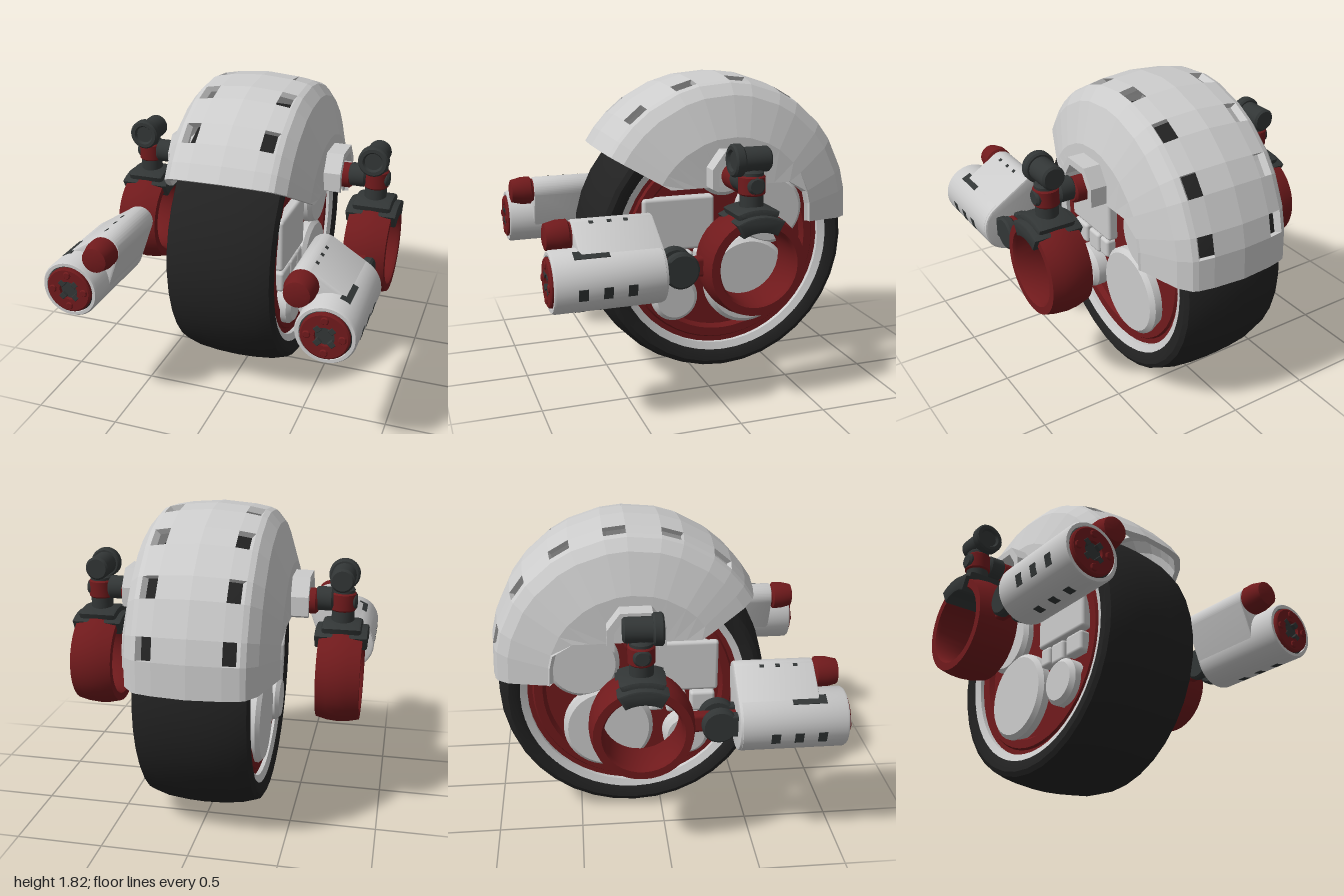
import * as THREE from 'three';
import { toCreasedNormals } from 'three/addons/utils/BufferGeometryUtils.js';
import { RoundedBoxGeometry } from 'three/addons/geometries/RoundedBoxGeometry.js';

const mat = (color, opts = {}) => new THREE.MeshStandardMaterial({ color, ...opts });
const GREY = mat(0xcccccc), RED = mat(0x701a1c), DARK = mat(0x323636), BLACK = mat(0x222222);
const PLATE = mat(0xcccccc, { flatShading: true });
const D = Math.PI / 180;

function add(parent, name, geometry, material, x = 0, y = 0, z = 0) {
  const mesh = new THREE.Mesh(geometry, material);
  mesh.name = name;
  mesh.position.set(x, y, z);
  parent.add(mesh);
  return mesh;
}

// Turned part: points are [radius, distance along axis]
function turned(points, axis = 'y', segments = 32) {
  const g = new THREE.LatheGeometry(points.map(p => new THREE.Vector2(...p)), segments);
  if (axis === 'x') g.rotateZ(-Math.PI / 2);
  if (axis === 'z') g.rotateX(Math.PI / 2);
  return toCreasedNormals(g, 0.6);
}

// Solid round with softened rims, from a to b along the axis
function round(r, a, b, axis, bevel = 0.012, segments = 28) {
  return turned([[0, a], [r - bevel, a], [r, a + bevel], [r, b - bevel], [r - bevel, b], [0, b]], axis, segments);
}

function box(w, h, d, r = 0.012) {
  return new RoundedBoxGeometry(w, h, d, 2, r);
}

function extrude(shape, depth, bevel = 0) {
  const g = new THREE.ExtrudeGeometry(shape, {
    depth, curveSegments: 20, bevelEnabled: bevel > 0, bevelThickness: bevel, bevelSize: bevel, bevelOffset: -bevel, bevelSegments: 2,
  });
  return toCreasedNormals(g, 0.6);
}

// Fender: a thick curved sheet on a grid of angles and widths, with window cells left out
function fenderGeometry() {
  const angles = [30, 37];
  for (let i = 0; i < 6; i++) angles.push(50 + 23.3 * i - 4.6, 50 + 23.3 * i + 4.6);
  angles.push(184);
  const half = [[0, 0.84], [0.19, 0.825], [0.28, 0.808], [0.31, 0.795], [0.365, 0.73], [0.445, 0.5], [0.455, 0]];
  const section = [...half.slice(1).reverse().map(([x, r]) => [-x, r]), ...half];
  const point = (i, j, inner) => {
    const a = angles[i] * D;
    let [x, r] = section[j];
    if (r === 0) r = a > 150 * D ? 0.49 : Math.min(0.49, 0.22 / Math.sin(a));
    else if (inner) r -= 0.03;
    if (inner) x -= Math.sign(x) * 0.025;
    return [x, 0.99 + r * Math.sin(a), -0.165 + r * Math.cos(a)];
  };
  const rows = angles.length - 1, cols = section.length - 1;
  const isWindow = (i, j) => i >= 2 && i % 2 === 0 && i < rows && (j === 4 || j === cols - 5);
  const solid = (i, j) => i >= 0 && j >= 0 && i < rows && j < cols && !isWindow(i, j);
  const pos = [];
  const quad = (a, b, c, d) => pos.push(...a, ...b, ...c, ...a, ...c, ...d);
  for (let i = 0; i < rows; i++) for (let j = 0; j < cols; j++) {
    if (!solid(i, j)) continue;
    const c = [[i, j], [i, j + 1], [i + 1, j + 1], [i + 1, j]];
    const o = c.map(p => point(...p, false)), n = c.map(p => point(...p, true));
    quad(...o);
    quad(n[3], n[2], n[1], n[0]);
    [[i - 1, j], [i, j + 1], [i + 1, j], [i, j - 1]].forEach((nb, k) => {
      const m = (k + 1) % 4;
      if (!solid(...nb)) quad(o[m], o[k], n[k], n[m]);
    });
  }
  const g = new THREE.BufferGeometry();
  g.setAttribute('position', new THREE.Float32BufferAttribute(pos, 3));
  g.computeVertexNormals();
  return g;
}

function wheel() {
  const g = new THREE.Group();
  g.name = 'wheel';
  g.position.set(0, 0.82, -0.165);
  const side = [[0.64, 0.28], [0.67, 0.305], [0.70, 0.32], [0.74, 0.325], [0.768, 0.31], [0.795, 0.22], [0.808, 0.1]];
  const tire = [...side.map(([r, x]) => [r, -x]), [0.812, 0], ...side.slice().reverse()];
  add(g, 'tire', turned(tire, 'x', 36), BLACK);
  add(g, 'hub', turned([[0, -0.25], [0.52, -0.25], [0.54, -0.28], [0.59, -0.28], [0.6, -0.265], [0.64, -0.265],
    [0.64, 0.265], [0.6, 0.265], [0.59, 0.28], [0.54, 0.28], [0.52, 0.25], [0, 0.25]], 'x', 48), RED);
  return g;
}

// Panels on one face of the wheel
function hubDetails(g) {
  add(g, 'rimBand', turned([[0.63, 0.25], [0.672, 0.25], [0.672, 0.307], [0.63, 0.29], [0.63, 0.25]], 'x', 48), GREY, 0, 0.82, -0.165);
  for (const [r, y, z, x] of [[0.27, 0.58, -0.32, 0.32], [0.215, 1.01, -0.46, 0.31], [0.14, 0.52, 0.15, 0.342], [0.16, 1.28, -0.16, 0.32]])
    add(g, 'hubDisc', round(r, 0.2, x, 'x', 0.025, 36), GREY, 0, y, z);
  for (const [h, d, y, z] of [[0.32, 0.44, 0.97, 0.12], [0.13, 0.15, 0.73, 0.25], [0.13, 0.12, 0.73, 0.09], [0.12, 0.09, 0.74, -0.03]])
    add(g, 'hubPanel', box(0.1, h, d, 0.02), GREY, 0.26, y, z);
}

function shoulder(g) {
  // Faceted open-bottomed arch over the arm axle
  const arch = new THREE.Shape([[-0.165, 1.22], [-0.165, 1.33], [-0.09, 1.43], [0.09, 1.43], [0.165, 1.33], [0.165, 1.22],
    [0.125, 1.2], [0.125, 1.31], [0.07, 1.39], [-0.07, 1.39], [-0.125, 1.31], [-0.125, 1.2]].map(p => new THREE.Vector2(...p)));
  add(g, 'shoulderArch', extrude(arch, 0.17), PLATE, 0.38, 0, -0.16).rotation.y = Math.PI / 2;
  add(g, 'shoulderAxle', round(0.075, 0.25, 0.59, 'x'), RED, 0, 1.27, -0.16);
  add(g, 'axleCollar', round(0.07, 0.575, 0.68, 'x'), DARK, 0, 1.285, -0.15);
  add(g, 'elbowPost', round(0.066, 1.12, 1.36, 'y'), DARK, 0.735, 0, -0.15);
  add(g, 'elbowCollar', round(0.075, 1.22, 1.335, 'y'), RED, 0.735, 0, -0.15);
  add(g, 'elbowCap', round(0.05, 0.74, 0.815, 'x'), DARK, 0, 1.28, -0.15);
  // Small lamp on top of the arm
  add(g, 'lampBody', round(0.07, -0.25, -0.06, 'z'), DARK, 0.73, 1.415, 0);
  add(g, 'lampHead', turned([[0, -0.09], [0.08, -0.09], [0.09, -0.08], [0.09, -0.04], [0.08, -0.03], [0.06, -0.03], [0.05, -0.045], [0, -0.045]], 'z'), DARK, 0.73, 1.415, 0);
  add(g, 'lampMount', round(0.045, 1.33, 1.4, 'y'), DARK, 0.735, 0, -0.15);
}

function armRing(g) {
  add(g, 'armRing', turned([[0.218, -0.105], [0.23, -0.125], [0.275, -0.125], [0.29, -0.06], [0.295, 0], [0.29, 0.06],
    [0.275, 0.125], [0.23, 0.125], [0.218, 0.105], [0.218, -0.105]], 'x', 36), RED, 0.735, 0.84, -0.15);
  // Curved clamp gripping the top of the ring
  const arc = (r, from, to, s) => s.absarc(0, 0, r, from * D, to * D, from > to);
  const clamp = (inner, outer, spread) => {
    const s = new THREE.Shape();
    arc(outer, 90 - spread, 90 + spread, s);
    arc(inner, 90 + spread, 90 - spread, s);
    return s;
  };
  add(g, 'ringClamp', extrude(clamp(0.2, 0.29, 29), 0.28, 0.012), DARK, 0.595, 0.84, -0.15).rotation.y = Math.PI / 2;
  add(g, 'clampTop', extrude(clamp(0.26, 0.325, 23), 0.19, 0.02), DARK, 0.64, 0.84, -0.15).rotation.y = Math.PI / 2;
}

function blaster(g) {
  const X = 0.735, Y = 0.84, R = 0.166, SX = 0.575, SY = 1.04, SR = 0.083;
  // Wrist: red link between two dark knuckles
  add(g, 'wristLink', box(0.07, 0.11, 0.3, 0.02), RED, X, 0.845, 0.24);
  for (const s of [-1, 1]) {
    add(g, 'wristKnuckle', round(0.1, -0.03, 0.03, 'x'), DARK, X + s * 0.06, 0.85, 0.275);
    add(g, 'wristFork', box(0.06, 0.13, 0.12), DARK, X + s * 0.06, 0.85, 0.34);
  }
  // Teardrop housing joining the main drum and the side barrel
  const theta = Math.atan2(SY - Y, SX - X), phi = Math.acos((R - SR) / Math.hypot(SX - X, SY - Y));
  const drop = new THREE.Shape();
  drop.absarc(X, Y, R, theta + phi, theta - phi + 2 * Math.PI, false);
  drop.absarc(SX, SY, SR, theta - phi, theta + phi, false);
  add(g, 'housing', extrude(drop, 0.43, 0.012), GREY, 0, 0, 0.385);
  add(g, 'drum', turned([[0, 0.375], [0.15, 0.375], [0.168, 0.39], [0.168, 0.965], [0.16, 0.978], [0.142, 0.978], [0.142, 0.93], [0, 0.93]], 'z', 36), GREY, X, Y);
  add(g, 'sideBarrelTip', turned([[0, 0.81], [0.072, 0.81], [0.072, 0.835], [0.088, 0.845], [0.088, 0.9], [0.072, 0.965], [0.05, 0.972], [0, 0.972]], 'z'), RED, SX, SY);
  // Muzzle: dark core, red ring and four studs
  add(g, 'muzzleCore', round(0.142, 0.9, 0.972, 'z'), DARK, X, Y);
  add(g, 'muzzleRing', turned([[0.055, 0.96], [0.134, 0.96], [0.134, 0.985], [0.125, 0.992], [0.055, 0.992], [0.055, 0.96]], 'z'), RED, X, Y);
  for (let i = 0; i < 4; i++) {
    const a = i * Math.PI / 2;
    add(g, 'muzzleStud', round(0.022, 0.97, 1.0, 'z', 0.005, 16), RED, X + 0.095 * Math.cos(a), Y + 0.095 * Math.sin(a));
    add(g, 'muzzleNotch', box(0.035, 0.035, 0.03, 0.004), DARK, X + 0.055 * Math.cos(a + Math.PI / 4), Y + 0.055 * Math.sin(a + Math.PI / 4), 0.979).rotation.z = a + Math.PI / 4;
  }
  // Vent slots set around a drum at a given angle
  const slot = (cx, cy, r, deg, z, w, l) => {
    add(g, 'ventSlot', new THREE.BoxGeometry(0.012, w, l), DARK, cx + (r - 0.004) * Math.cos(deg * D), cy + (r - 0.004) * Math.sin(deg * D), z).rotation.z = deg * D;
  };
  slot(X, Y, R, 65, 0.765, 0.06, 0.19);
  for (const z of [0.57, 0.7, 0.83]) {
    slot(X, Y, R, -12, z, 0.065, 0.05);
    slot(X, Y, R, -80, z, 0.05, 0.05);
  }
  for (const z of [0.53, 0.62, 0.72]) slot(SX, SY, SR, 60, z, 0.02, 0.025);
  add(g, 'housingSeam', box(0.012, 0.012, 0.28, 0.004), DARK, 0.665, 1.0, 0.66);
}

export function createModel() {
  const model = new THREE.Group();
  model.name = 'wheeledRobot';
  model.add(wheel());
  add(model, 'fender', fenderGeometry(), PLATE);
  const left = new THREE.Group();
  left.name = 'leftSide';
  for (const build of [hubDetails, shoulder, armRing, blaster]) build(left);
  const right = left.clone();
  right.name = 'rightSide';
  right.scale.x = -1;
  model.add(left, right);
  return model;
}
